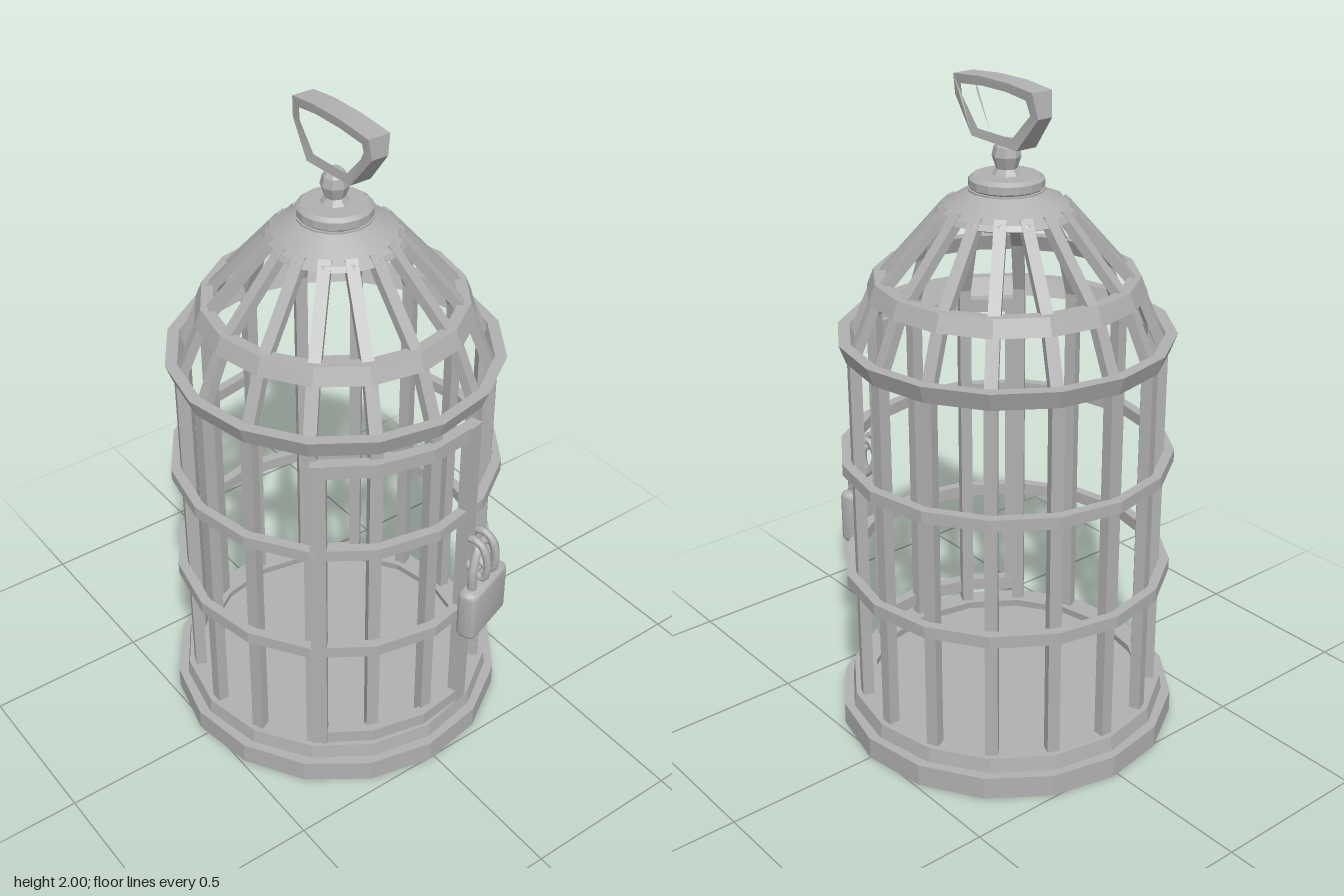
import * as THREE from 'three';
import { toCreasedNormals } from 'three/addons/utils/BufferGeometryUtils.js';
import { RoundedBoxGeometry } from 'three/addons/geometries/RoundedBoxGeometry.js';

const SIDES = 16;
const STEP = (Math.PI * 2) / SIDES;
const deg = THREE.MathUtils.degToRad;

export function createModel() {
  const model = new THREE.Group();
  const metal = new THREE.MeshStandardMaterial({ color: 0xb0b0b0 });
  metal.name = 'greyMetal';

  const cage = new THREE.Group();
  cage.name = 'cage';
  cage.position.x = -0.017;
  model.add(cage);

  const add = (name, geometry, parent = cage, crease = 0.3) => {
    const mesh = new THREE.Mesh(toCreasedNormals(geometry, crease), metal);
    mesh.name = name;
    parent.add(mesh);
    return mesh;
  };
  const lathe = (name, pts, sides = SIDES, start = 0, length = Math.PI * 2) =>
    add(name, new THREE.LatheGeometry(pts.map((p) => new THREE.Vector2(...p)), sides, start, length));
  // Closed ring with separate bottom and top radii
  const ring = (name, y0, y1, r0, r1, thick, sides, start, length) =>
    lathe(name, [[r0, y0], [r1, y1], [r1 - thick, y1], [r0 - thick, y0], [r0, y0]], sides, start, length);
  // Point at angle a, measured from +x towards +z
  const polar = (a, r, y) => new THREE.Vector3(Math.cos(a) * r, y, Math.sin(a) * r);
  // Square bar in the radial plane of angle a
  const bar = (name, a, r0, y0, r1, y1, width, depth) => {
    const h = Math.hypot(r1 - r0, y1 - y0);
    const g = new THREE.BoxGeometry(depth, h, width);
    g.rotateZ(-Math.atan2(r1 - r0, y1 - y0));
    g.translate((r0 + r1) / 2, (y0 + y1) / 2, 0);
    g.rotateY(-a);
    return add(name, g);
  };

  // Base plinth, recessed underneath
  const polygon = (Type, r, n) => {
    const p = new Type();
    p.setFromPoints(Array.from({ length: n }, (_, i) => {
      const a = (i / n) * Math.PI * 2;
      return new THREE.Vector2(Math.cos(a) * r, Math.sin(a) * r);
    }));
    return p;
  };
  const baseShape = polygon(THREE.Shape, 0.523, SIDES);
  baseShape.holes.push(polygon(THREE.Path, 0.385, 10));
  const baseGeo = new THREE.ExtrudeGeometry(baseShape, { depth: 0.07, bevelEnabled: false });
  baseGeo.rotateX(-Math.PI / 2);
  add('basePlinth', baseGeo).rotation.y = -0.035;
  const floor = new THREE.CylinderGeometry(0.47, 0.47, 0.03, SIDES);
  floor.translate(0, 0.075, 0);
  add('floor', floor);
  ring('baseRim', 0.068, 0.115, 0.495, 0.488, 0.07);

  // Hoops around the bars
  ring('lowerHoop', 0.5, 0.538, 0.5, 0.5, 0.03);
  ring('middleHoop', 0.87, 0.906, 0.5, 0.5, 0.03);
  ring('shoulderHoop', 1.22, 1.275, 0.475, 0.495, 0.035);
  ring('domeHoop', 1.395, 1.445, 0.405, 0.385, 0.035);

  // Upright bars and the bent dome bars above them
  for (let i = 0; i < SIDES; i++) {
    const a = i * STEP;
    bar('uprightBar', a, 0.452, 0.08, 0.452, 1.25, 0.037, 0.034);
    bar('lowerDomeBar', a, 0.452, 1.235, 0.372, 1.425, 0.037, 0.028);
    bar('upperDomeBar', a, 0.372, 1.415, 0.17, 1.645, 0.035, 0.028);
  }

  // Curved door frame
  const doorStart = deg(47);
  const doorLength = deg(60);
  ring('doorBottomRail', 0.14, 0.182, 0.495, 0.495, 0.035, 3, doorStart, doorLength);
  ring('doorTopRail', 1.157, 1.2, 0.495, 0.495, 0.035, 3, doorStart, doorLength);
  for (const a of [42, -16]) bar('doorStile', deg(a), 0.478, 0.14, 0.478, 1.2, 0.045, 0.036);

  // Roof cap with collar and finial
  lathe('roofCap', [[0, 1.62], [0.18, 1.615], [0.205, 1.625], [0.195, 1.64], [0.11, 1.69], [0.11, 1.695], [0, 1.695]]);
  lathe('collar', [[0, 1.69], [0.097, 1.69], [0.108, 1.7], [0.108, 1.722], [0.095, 1.732], [0, 1.734]]);
  lathe('finial', [[0.045, 1.73], [0.03, 1.75], [0.042, 1.785], [0.036, 1.812], [0.02, 1.832], [0, 1.834]], 8);

  // Carrying handle: a flat loop, wide along the top and pinched lower down
  const outer = [[-0.095, 1.822], [-0.172, 1.92], [-0.158, 1.99], [-0.06, 2], [0.06, 2], [0.178, 1.99], [0.182, 1.93], [0.1, 1.828]];
  const inner = [[-0.07, 1.85], [-0.14, 1.925], [-0.13, 1.965], [-0.05, 1.975], [0.055, 1.975], [0.148, 1.966], [0.15, 1.932], [0.078, 1.852]];
  const toV2 = (p) => new THREE.Vector2(...p);
  const handleShape = new THREE.Shape(outer.map(toV2));
  handleShape.holes.push(new THREE.Path(inner.map(toV2)));
  const handleGeo = new THREE.ExtrudeGeometry(handleShape, { depth: 1, bevelEnabled: false });
  const hp = handleGeo.attributes.position;
  for (let i = 0; i < hp.count; i++) {
    const half = 0.021 + 0.014 * THREE.MathUtils.clamp(Math.abs(hp.getY(i) - 1.9) / 0.08, 0, 1);
    hp.setZ(i, (hp.getZ(i) - 0.5) * 2 * half - 0.01);
  }
  add('handle', handleGeo);

  // Padlock hanging from the door edge
  const padlock = new THREE.Group();
  padlock.name = 'padlock';
  const lockAngle = deg(-19.5);
  padlock.position.copy(polar(lockAngle, 0.528, 0));
  padlock.rotation.y = -lockAngle;
  cage.add(padlock);

  const body = add('padlockBody', new RoundedBoxGeometry(0.065, 0.18, 0.205, 3, 0.022), padlock, 1);
  body.position.y = 0.553;

  const tube = (name, pts, r, closed) => {
    const curve = new THREE.CatmullRomCurve3(pts.map((p) => new THREE.Vector3(...p)), closed);
    return add(name, new THREE.TubeGeometry(curve, 24, r, 8, closed), padlock, 1);
  };
  tube('shackle', [[0, 0.62, -0.065], [0, 0.7, -0.066], [-0.005, 0.755, -0.04], [-0.01, 0.772, 0],
    [-0.005, 0.755, 0.04], [0, 0.7, 0.066], [0, 0.62, 0.065]], 0.014, false);

  // Two links joining the shackle to the door
  for (const z of [-0.015, 0.035]) {
    tube('chainLink', [[0.018, 0.67, z], [0.03, 0.72, z], [0.01, 0.785, z], [-0.03, 0.8, z],
      [-0.055, 0.765, z], [-0.035, 0.7, z]], 0.012, true);
  }

  return model;
}
